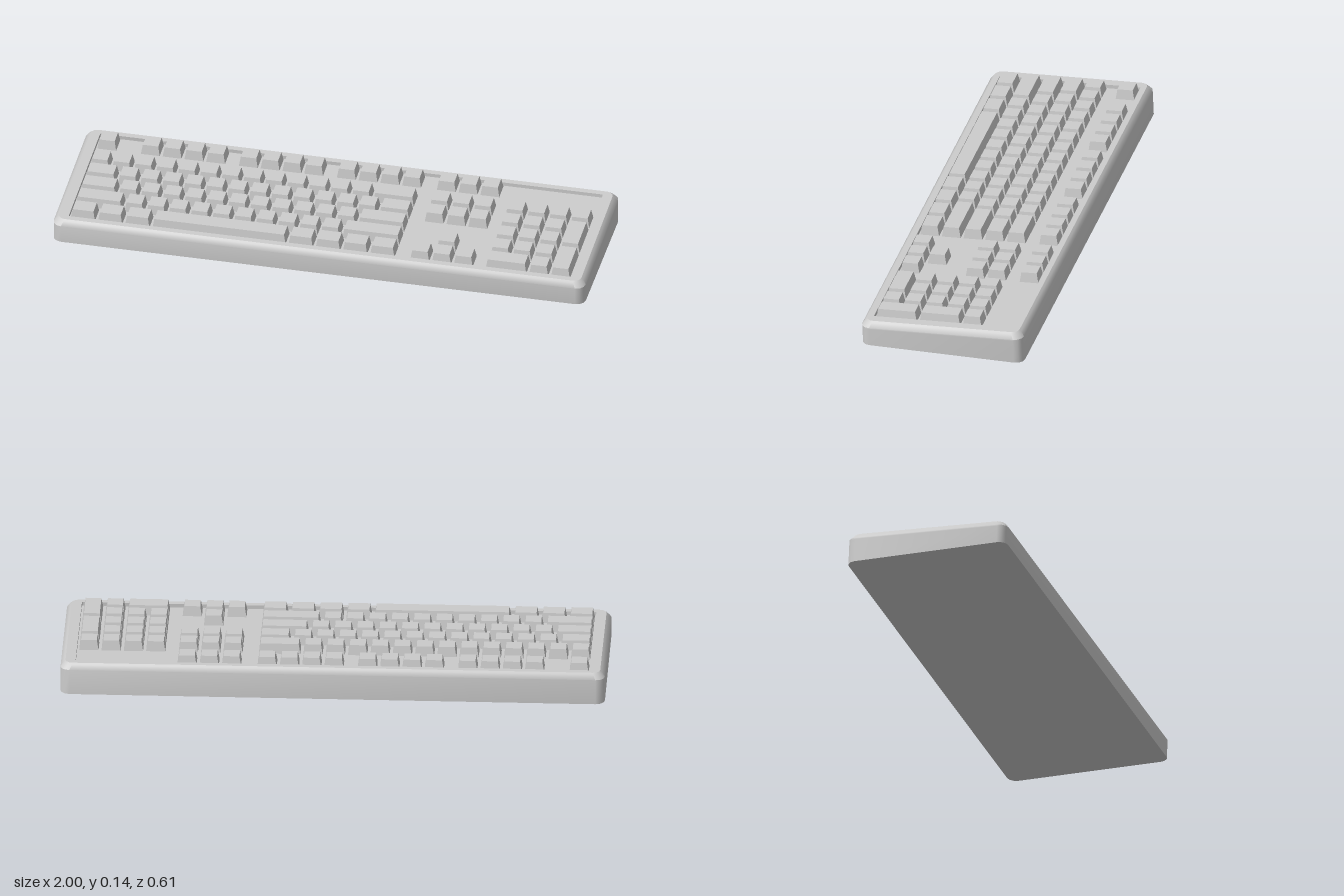
import * as THREE from 'three';
import { toCreasedNormals } from 'three/addons/utils/BufferGeometryUtils.js';

const TILT = 0.0432;    // slope of the deck, higher at the back
const DECK = 0.1045;    // deck height at the middle
const RECESS = 0.014;   // depth of the key well
const UNIT = 0.0817;    // key pitch
const GAP = 0.011;
const KEY_H = 0.0375;

const material = new THREE.MeshStandardMaterial({ color: 0xcccccc });

// Rounded rectangle in the xz plane
function roundedLoop(hx, hz, r, steps = 3) {
  const pts = [];
  [[1, 1], [-1, 1], [-1, -1], [1, -1]].forEach(([sx, sz], q) => {
    for (let i = 0; i <= steps; i++) {
      const a = (q + i / steps) * Math.PI / 2;
      pts.push([sx * (hx - r) + r * Math.cos(a), sz * (hz - r) + r * Math.sin(a)]);
    }
  });
  return pts;
}

// Case: loops from the base, over the rim, down into the key well
function makeCase() {
  const HX = 0.998, HZ = 0.306;
  // half width, half depth, corner radius, offset from the deck (null = ground)
  const rings = [
    [0, 0, 0, null],
    [HX, HZ, 0.034, null],
    [HX, HZ, 0.034, -0.027],
    [HX, HZ, 0.034, -0.022],
    [HX - 0.012, HZ - 0.012, 0.03, -0.006],
    [HX - 0.018, HZ - 0.018, 0.026, 0],
    [HX - 0.022, HZ - 0.022, 0.024, 0],
    [0.943, 0.266, 0.003, 0],
    [0.943, 0.266, 0.003, -RECESS],
    [0, 0, 0, -RECESS],
  ];
  const pos = [], index = [];
  let n = 0;
  rings.forEach(([hx, hz, r, off], k) => {
    const loop = roundedLoop(hx, hz, r);
    n = loop.length;
    loop.forEach(([x, z], j) => {
      const y = off === null ? 0 : DECK - TILT * z + off;
      pos.push(x, y, z - 0.002 + TILT * y);
      if (k === 0) return;
      const a = (k - 1) * n + j, b = (k - 1) * n + (j + 1) % n;
      index.push(a, a + n, b, b, a + n, b + n);
    });
  });
  const geo = new THREE.BufferGeometry();
  geo.setAttribute('position', new THREE.Float32BufferAttribute(pos, 3));
  geo.setIndex(index);
  const mesh = new THREE.Mesh(toCreasedNormals(geo, 0.7), material);
  mesh.name = 'case';
  return mesh;
}

// Keycap: box narrowed towards the top
function makeKey(u, v) {
  const w = u * UNIT - GAP, d = v * UNIT - GAP, taper = 0.0065;
  const geo = new THREE.BoxGeometry(w, KEY_H, d).translate(0, KEY_H / 2, 0);
  const p = geo.attributes.position;
  for (let i = 0; i < p.count; i++) {
    if (p.getY(i) < KEY_H / 2) continue;
    p.setX(i, p.getX(i) - Math.sign(p.getX(i)) * taper);
    p.setZ(i, p.getZ(i) - Math.sign(p.getZ(i)) * taper);
  }
  geo.computeVertexNormals();
  return new THREE.Mesh(geo, material);
}

export function createModel() {
  const model = new THREE.Group();
  model.name = 'keyboard';
  model.add(makeCase());

  const keys = new THREE.Group();
  keys.name = 'keys';
  keys.position.y = DECK - RECESS;
  keys.rotation.x = TILT;
  model.add(keys);

  const rowZ = [-0.224, -0.101, -0.0195, 0.062, 0.144, 0.2255];
  const addKey = (name, x0, col, row, u = 1, v = 1) => {
    const key = makeKey(u, v);
    key.name = name;
    key.position.set(x0 + (col + u / 2) * UNIT, 0, rowZ[row] + (v - 1) * UNIT / 2);
    keys.add(key);
  };
  const addRow = (name, x0, row, widths, start = 0) => {
    let col = start;
    for (const u of widths) {
      addKey(name, x0, col, row, u);
      col += u;
    }
  };
  const ones = (n) => Array(n).fill(1);

  // Main block
  const MAIN = -0.943, NAV = 0.331, PAD = 0.614;
  addKey('escapeKey', MAIN, 0, 0);
  for (const start of [2, 6.5, 11]) addRow('functionKey', MAIN, 0, ones(4), start);
  addRow('numberKey', MAIN, 1, [...ones(13), 2]);
  addRow('upperLetterKey', MAIN, 2, [1.5, ...ones(12), 1.5]);
  addRow('homeLetterKey', MAIN, 3, [1.75, ...ones(11), 2.25]);
  addRow('lowerLetterKey', MAIN, 4, [2.25, ...ones(10), 2.75]);
  addRow('bottomRowKey', MAIN, 5, [1.25, 1.25, 1.25, 6.25, 1.25, 1.25, 1.25, 1.25]);

  // Navigation block and arrows
  for (const row of [0, 1, 2]) addRow('navigationKey', NAV, row, ones(3));
  addKey('arrowKey', NAV, 1, 4);
  addRow('arrowKey', NAV, 5, ones(3));

  // Number pad
  addRow('padKey', PAD, 1, ones(4));
  for (const row of [2, 3, 4]) addRow('padKey', PAD, row, ones(3));
  addRow('padKey', PAD, 5, [2, 1]);
  for (const row of [2, 4]) addKey('tallPadKey', PAD, 3, row, 1, 2);

  return model;
}
